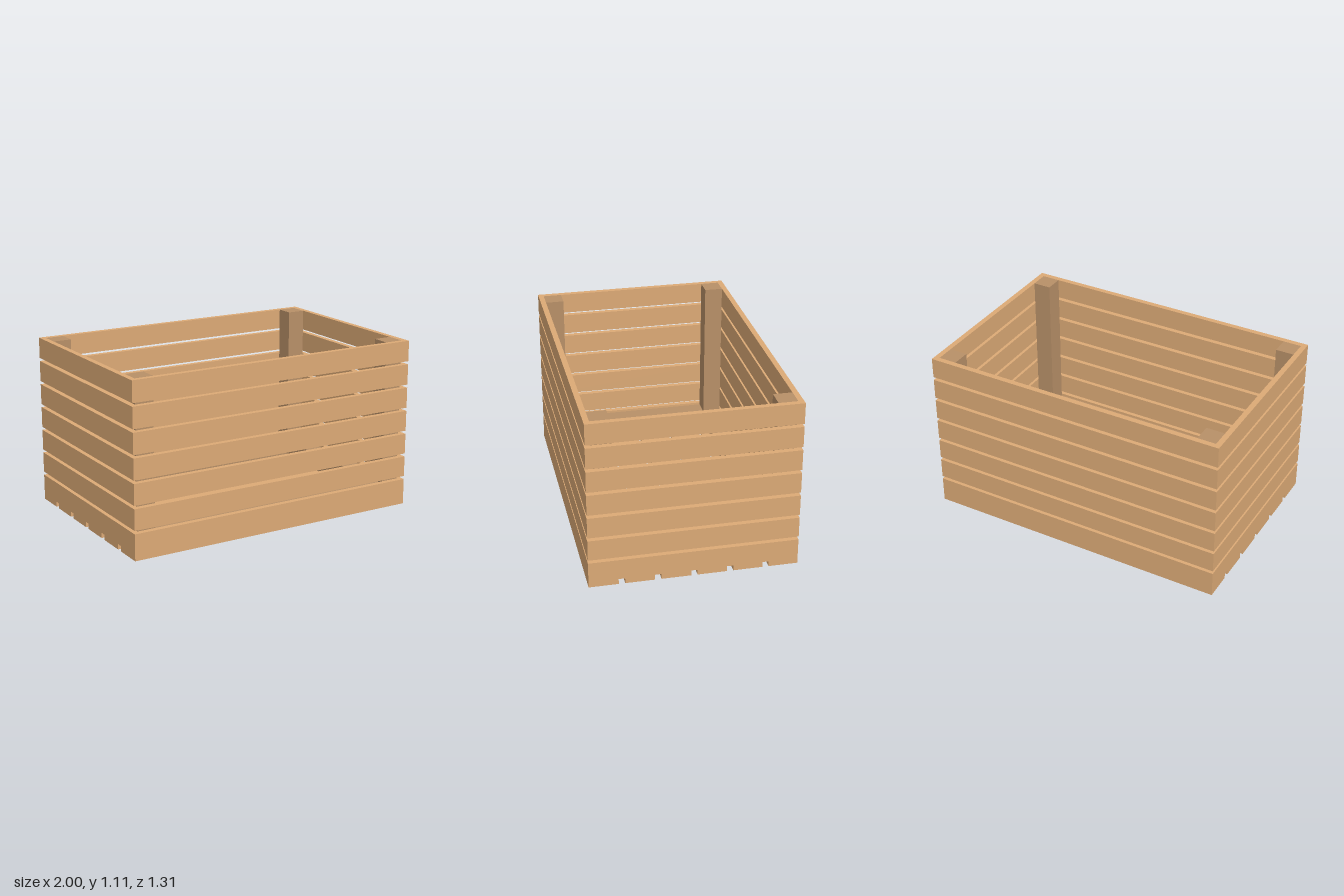
import * as THREE from 'three';

const W = 2, D = 1.31, H = 1.105; // outer size
const T = 0.035;                  // board thickness
const POST = 0.12;                // post and cleat section
const ROWS = 7, SLAT_H = 0.135;
const FLOOR_BOARDS = 6, FLOOR_GAP = 0.04;

export function createModel() {
  const crate = new THREE.Group();
  crate.name = 'slattedCrate';
  const slatWood = new THREE.MeshStandardMaterial({ color: 0xdcaa76 });
  const frameWood = new THREE.MeshStandardMaterial({ color: 0xb89068 });

  const box = (name, material, size, position) => {
    const mesh = new THREE.Mesh(new THREE.BoxGeometry(...size), material);
    mesh.name = name;
    mesh.position.set(...position);
    crate.add(mesh);
  };

  // Floor boards running the full length
  const boardD = (D - FLOOR_GAP * (FLOOR_BOARDS - 1)) / FLOOR_BOARDS;
  for (let i = 0; i < FLOOR_BOARDS; i++) {
    const z = -D / 2 + boardD / 2 + i * (boardD + FLOOR_GAP);
    box('floorBoard', slatWood, [W, T, boardD], [0, T / 2, z]);
  }

  // Wall slats: the long ones cover the ends of the short ones
  const pitch = (H - T - SLAT_H) / (ROWS - 1);
  for (let i = 0; i < ROWS; i++) {
    const y = T + SLAT_H / 2 + i * pitch;
    for (const s of [-1, 1]) {
      box(s > 0 ? 'frontSlat' : 'backSlat', slatWood, [W, SLAT_H, T], [0, y, s * (D - T) / 2]);
      box(s > 0 ? 'leftSlat' : 'rightSlat', slatWood, [T, SLAT_H, D - 2 * T], [s * (W - T) / 2, y, 0]);
    }
  }

  // Inner corner posts, with cleats between them on the floor
  const px = W / 2 - T - POST / 2, pz = D / 2 - T - POST / 2;
  const cleatY = T + POST / 2;
  for (const s of [-1, 1]) {
    for (const t of [-1, 1]) {
      box('cornerPost', frameWood, [POST, H - T, POST], [s * px, (H + T) / 2, t * pz]);
    }
    box('longCleat', frameWood, [2 * px - POST, POST, POST], [0, cleatY, s * pz]);
    box('shortCleat', frameWood, [POST, POST, 2 * pz - POST], [s * px, cleatY, 0]);
  }
  return crate;
}
